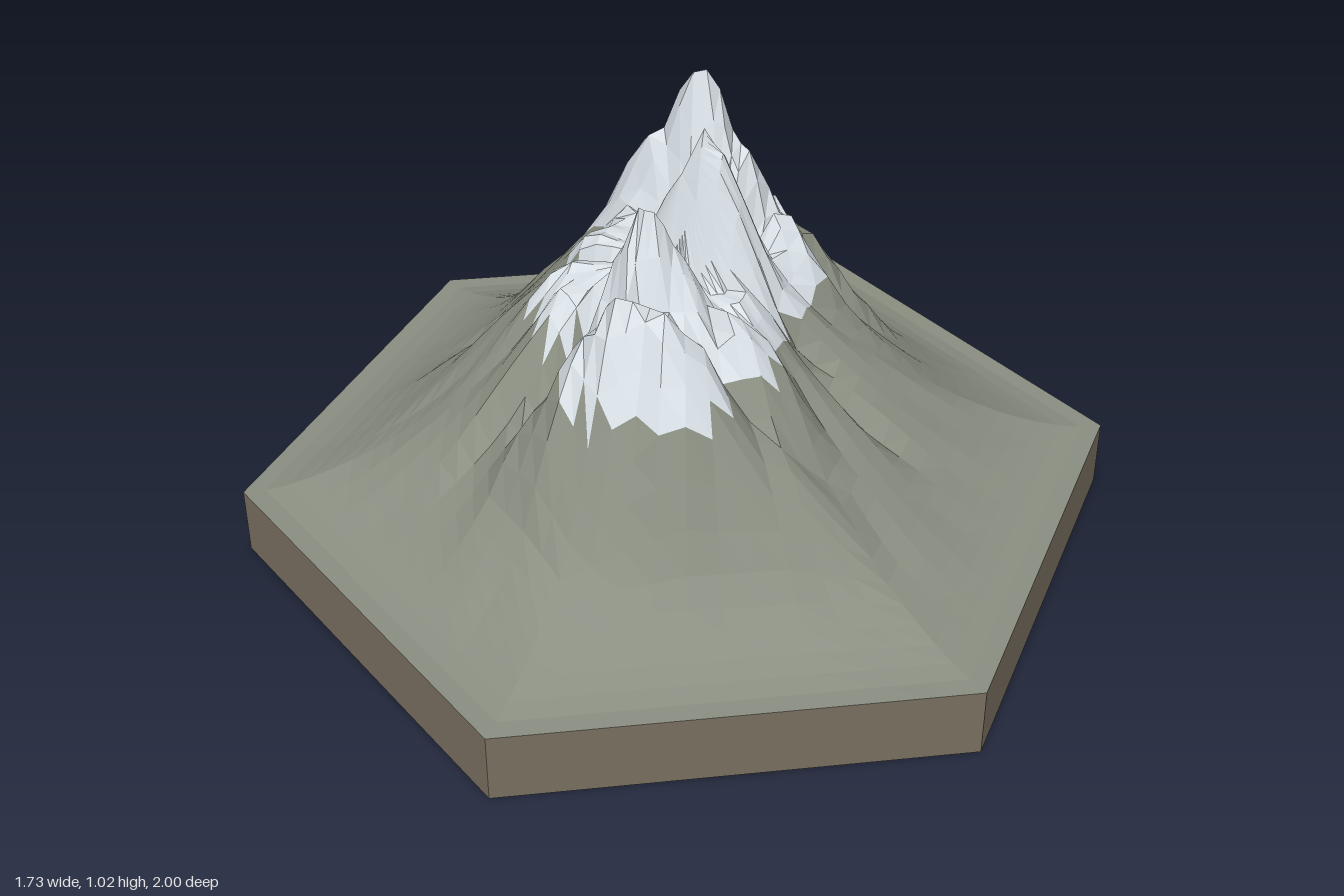
import * as THREE from 'three';

const BASE = 0.16, RINGS = 20, SIDE = 10, SEGS = SIDE * 6;

// Summits and shoulders: x, z, height above the slab, spread in x, spread in z
const PEAKS = [
  [-0.07, -0.27, 0.87, 0.34, 0.19],
  [-0.01, -0.15, 0.68, 0.24, 0.20],
  [0.05, -0.02, 0.86, 0.28, 0.15],
  [0.0, 0.19, 0.77, 0.30, 0.23],
  [0.05, 0.34, 0.66, 0.38, 0.24],
  [0.16, -0.18, 0.62, 0.24, 0.20],
  [0.20, 0.20, 0.58, 0.25, 0.22],
  [-0.14, 0.08, 0.54, 0.22, 0.16],
  [0.02, -0.44, 0.50, 0.36, 0.26],
];

// Ravines: direction (angle from +z towards +x), depth, angular width
const RAVINES = [
  [-0.5, 0.28, 0.13],
  [-1.55, 0.22, 0.14],
  [1.65, 0.25, 0.12],
  [2.6, 0.22, 0.13],
];

const smooth = THREE.MathUtils.smoothstep;

// Height of the ground; t is 0 at the centre and 1 on the hexagon's rim
function heightAt(x, z, t) {
  const angle = Math.atan2(x, z);
  // Round skirt that turns hexagonal near the rim and is lower towards +x
  const reach = THREE.MathUtils.lerp(Math.hypot(x, z) / 0.93, t, smooth(t, 0.45, 0.95));
  const side = 1 - (x > 0 ? 0.26 : 0.12) * Math.sin(angle) ** 2;
  let h = Math.min(0.52, side * Math.pow(Math.max(0, 1 - reach / 0.96), 1.6));
  const fade = smooth(0.95 - t, 0, 0.42);
  for (const [px, pz, top, wx, wz] of PEAKS) {
    const d = Math.hypot((x - px) / wx, (z - pz) / wz);
    h = Math.max(h, top * Math.exp(-Math.pow(d, 1.3)) * fade);
  }
  const flank = smooth(t, 0.1, 0.35) * (1 - smooth(t, 0.45, 0.9));
  for (const [dir, depth, width] of RAVINES) {
    const turn = angle - dir + 0.35 * (t - 0.3);
    const off = Math.atan2(Math.sin(turn), Math.cos(turn)) / width;
    h *= 1 - depth * flank * Math.exp(-off * off);
  }
  // Fine gullies that bend as they descend
  const gully = Math.sin(11 * angle + 7 * t) * 0.6 + Math.sin(23 * angle - 12 * t) * 0.4;
  h *= 1 + 0.06 * gully * smooth(t, 0.1, 0.4);
  return BASE + Math.max(0, h);
}

// Point on a hexagonal ring
function ringPoint(ring, seg) {
  const t = ring / RINGS, s = seg % SEGS;
  const k = Math.floor(s / SIDE), f = (s % SIDE) / SIDE;
  const a = k * Math.PI / 3, b = a + Math.PI / 3;
  const x = t * THREE.MathUtils.lerp(Math.sin(a), Math.sin(b), f);
  const z = t * THREE.MathUtils.lerp(Math.cos(a), Math.cos(b), f);
  return [x, heightAt(x, z, t), z];
}

export function createModel() {
  const rock = new THREE.MeshStandardMaterial({ name: 'rock', color: 0x8b8f82, flatShading: true });
  const snow = new THREE.MeshStandardMaterial({ name: 'snow', color: 0xd8e0e6, flatShading: true });
  const earth = new THREE.MeshStandardMaterial({ name: 'earth', color: 0x7a6f61, flatShading: true });
  const model = new THREE.Group();
  model.name = 'mountainTile';

  const add = (name, geometry, material) => {
    const mesh = new THREE.Mesh(geometry, material);
    mesh.name = name;
    model.add(mesh);
    return mesh;
  };

  // Hexagonal slab: walls and underside
  add('slabWalls', new THREE.CylinderGeometry(1, 1, BASE, 6, 1, true), earth).position.y = BASE / 2;
  add('slabUnderside', new THREE.CircleGeometry(1, 6, Math.PI / 2).rotateX(Math.PI / 2), earth);

  // Mountain facets, sorted into rock and snow by their height
  const rockFaces = [], snowFaces = [];
  const facet = (...corners) => {
    const mean = (corners[0][1] + corners[1][1] + corners[2][1]) / 3;
    (mean > 0.59 ? snowFaces : rockFaces).push(...corners.flat());
  };
  for (let r = 0; r < RINGS; r++) {
    for (let s = 0; s < SEGS; s++) {
      const a = ringPoint(r, s), b = ringPoint(r, s + 1);
      const c = ringPoint(r + 1, s), d = ringPoint(r + 1, s + 1);
      facet(c, d, a);
      if (r > 0) facet(a, d, b);
    }
  }
  for (const [name, faces, material] of [['rockSlopes', rockFaces, rock], ['snowCaps', snowFaces, snow]]) {
    const geometry = new THREE.BufferGeometry();
    geometry.setAttribute('position', new THREE.Float32BufferAttribute(faces, 3));
    geometry.computeVertexNormals();
    add(name, geometry, material);
  }
  return model;
}
